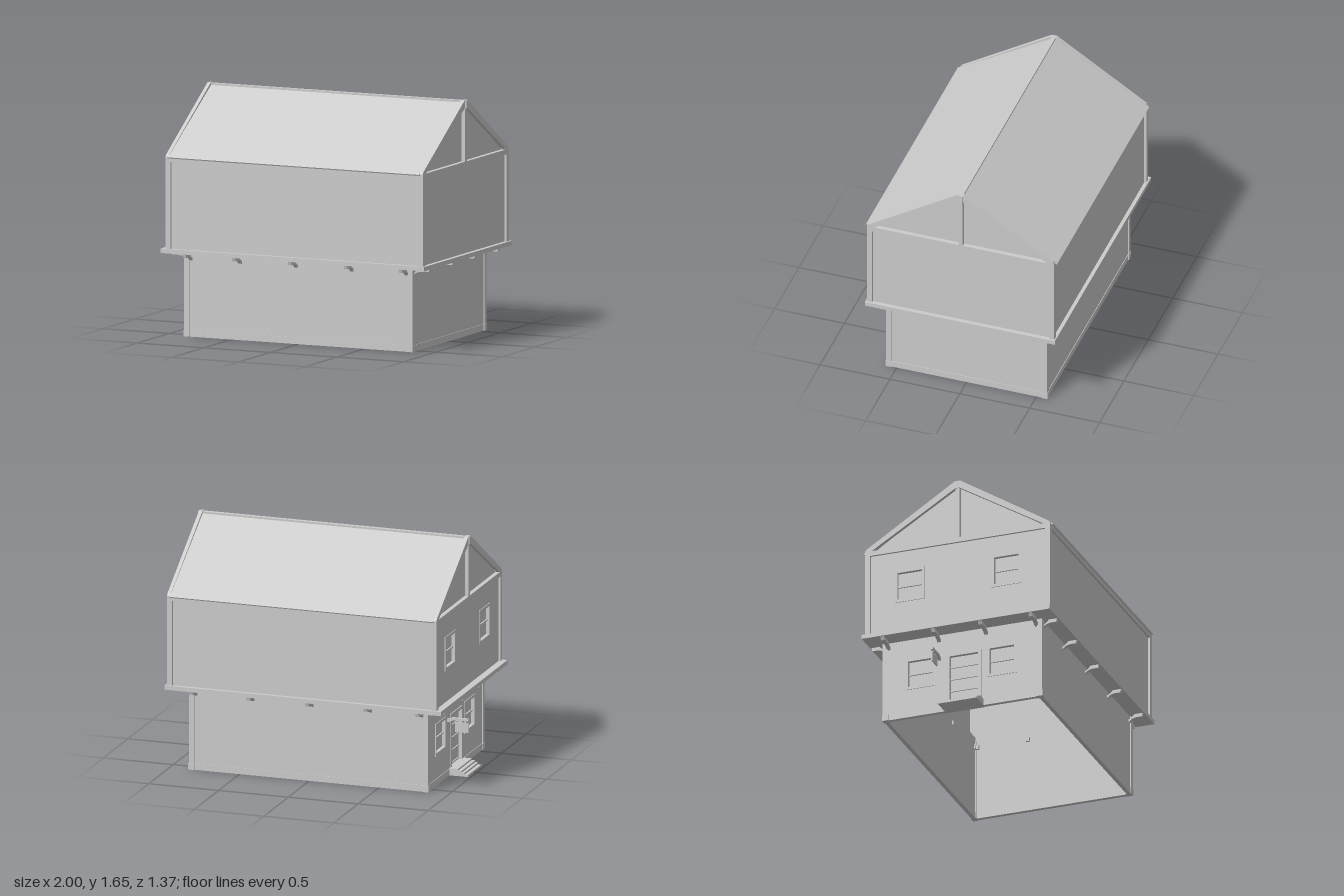
import * as THREE from 'three';

const material = new THREE.MeshStandardMaterial({ color: 0xcccccc, flatShading: true, side: THREE.DoubleSide });

export function createModel() {
  const house = new THREE.Group();
  house.name = 'house';

  const add = (name, geometry, parent = house) => {
    const mesh = new THREE.Mesh(geometry, material);
    mesh.name = name;
    parent.add(mesh);
    return mesh;
  };
  // Box given by its limits
  const box = (name, x0, x1, y0, y1, z0, z1, parent) => {
    const g = new THREE.BoxGeometry(x1 - x0, y1 - y0, z1 - z0);
    g.translate((x0 + x1) / 2, (y0 + y1) / 2, (z0 + z1) / 2);
    return add(name, g, parent);
  };
  const polygon = (points) => new THREE.Shape(points.map(([a, b]) => new THREE.Vector2(a, b)));
  const rect = (a0, a1, b0, b1) => polygon([[a0, b0], [a1, b0], [a1, b1], [a0, b1]]);
  // Slab whose outline lies in the (z, y) plane, reaching from x0 to x1
  const crossSlab = (name, x0, x1, outline, holes = []) => {
    outline.holes.push(...holes);
    const g = new THREE.ExtrudeGeometry(outline, { depth: x1 - x0, bevelEnabled: false });
    g.rotateY(-Math.PI / 2);
    g.translate(x1, 0, 0);
    return add(name, g);
  };

  // Limits of the lower and upper storeys
  const L0 = -0.855, L1 = 0.865, LZ = 0.58, floorY = 0.575;
  const U0 = -0.945, U1 = 0.985, UZ = 0.67, baseY = 0.605, eaveY = 1.235;

  // Openings in the entrance wall: z0, z1, y0, y1
  const lowerWindows = [[-0.41, -0.2, 0.21, 0.43], [0.18, 0.39, 0.21, 0.43]];
  const upperWindows = [[-0.455, -0.245, 0.83, 1.06], [0.245, 0.455, 0.83, 1.06]];
  const door = [-0.11, 0.13, 0.05, 0.42];
  const hole = (o) => rect(...o);

  // Lower storey walls, open below
  for (const s of [-1, 1]) {
    const z = [s * (LZ - 0.01), s * (LZ - 0.03)].sort((a, b) => a - b);
    box('lowerLongWall', L0 + 0.02, L1 - 0.02, 0, floorY, z[0], z[1]);
  }
  box('lowerEndWall', L1 - 0.03, L1 - 0.01, 0, floorY, -LZ + 0.02, LZ - 0.02);
  crossSlab('entranceWall', L0 + 0.01, L0 + 0.03, rect(-LZ + 0.02, LZ - 0.02, 0, floorY),
    [...lowerWindows, door].map(hole));

  // Upper storey walls
  for (const s of [-1, 1]) {
    const z = [s * (UZ - 0.015), s * (UZ - 0.035)].sort((a, b) => a - b);
    box('upperLongWall', U0 + 0.02, U1 - 0.02, baseY, eaveY, z[0], z[1]);
    box('eaveBeam', U0, U1, 1.2, 1.228, Math.min(s * UZ, s * (UZ - 0.035)), Math.max(s * UZ, s * (UZ - 0.035)));
  }
  box('upperEndWall', U1 - 0.035, U1 - 0.015, baseY, eaveY, -UZ + 0.02, UZ - 0.02);
  crossSlab('upperFacade', U0 + 0.015, U0 + 0.035, rect(-UZ + 0.02, UZ - 0.02, baseY, eaveY), upperWindows.map(hole));

  // Corner posts with small plinths
  for (const s of [-1, 1]) {
    for (const right of [true, false]) {
      const post = (name, edge, zEdge, w, y0, y1) => {
        const a = right ? edge - w : edge, c = s > 0 ? zEdge - w : -zEdge;
        box(name, a, a + w, y0, y1, c, c + w);
      };
      post('lowerPost', right ? L1 - 0.003 : L0 + 0.003, LZ - 0.003, 0.037, 0, floorY);
      post('postPlinth', right ? L1 : L0, LZ, 0.043, 0, 0.045);
      post('upperPost', right ? U1 : U0, UZ, 0.037, baseY, eaveY);
    }
  }

  // Ground sills
  for (const s of [-1, 1]) {
    const zc = s * (LZ - 0.02);
    box('groundSill', L0 + 0.03, L1 - 0.03, 0, 0.045, zc - 0.014, zc + 0.014);
  }
  box('groundSill', L1 - 0.034, L1 - 0.006, 0, 0.045, -LZ + 0.03, LZ - 0.03);
  box('groundSill', L0 + 0.006, L0 + 0.034, 0, 0.045, -LZ + 0.03, LZ - 0.03);

  // Jetty: a flat ring between the storeys
  const ring = rect(-0.98, 1, -0.68, 0.68);
  ring.holes.push(rect(L0 + 0.03, L1 - 0.03, -LZ + 0.03, LZ - 0.03));
  const ringGeometry = new THREE.ExtrudeGeometry(ring, { depth: baseY - floorY, bevelEnabled: false });
  ringGeometry.rotateX(-Math.PI / 2);
  ringGeometry.translate(0, floorY, 0);
  add('jetty', ringGeometry);

  // Curved brackets below the jetty
  const bracketShape = new THREE.Shape();
  bracketShape.moveTo(-0.05, 0.51);
  bracketShape.lineTo(-0.02, 0.515);
  bracketShape.quadraticCurveTo(0.015, 0.55, 0.06, 0.55);
  bracketShape.lineTo(0.105, 0.55);
  bracketShape.lineTo(0.115, 0.575);
  bracketShape.lineTo(0.04, 0.575);
  bracketShape.quadraticCurveTo(0.025, 0.56, 0, 0.545);
  bracketShape.lineTo(-0.05, 0.54);
  const bracketGeometry = new THREE.ExtrudeGeometry(bracketShape, { depth: 0.026, bevelEnabled: false, curveSegments: 6 });
  bracketGeometry.translate(0, 0, -0.013);
  const bracket = (x, z, turn, length = 1) => {
    const mesh = add('bracket', bracketGeometry);
    mesh.position.set(x, 0, z);
    mesh.rotation.y = turn;
    mesh.scale.x = length;
  };
  for (const x of [-0.805, -0.435, -0.015, 0.405, 0.815]) {
    bracket(x, LZ, -Math.PI / 2, 0.8);
    bracket(x, -LZ, Math.PI / 2, 0.8);
  }
  for (const z of [-0.535, -0.17, 0.17, 0.535]) {
    bracket(L1, z, 0);
    bracket(L0, z, Math.PI);
  }

  // Gable ends: rafters, tie beam, king post and recessed panel
  const apexY = 1.655;
  const gable = () => polygon([[-UZ, 1.2], [UZ, 1.2], [UZ, 1.235], [0.66, 1.25], [0.02, apexY], [-0.02, apexY], [-0.66, 1.25], [-UZ, 1.235]]);
  const gableHoles = () => [1, -1].map((s) => polygon([[s * 0.015, eaveY], [s * 0.62, eaveY], [s * 0.015, 1.603]]));
  for (const [x0, x1, panel] of [[U0, U0 + 0.025, U0 + 0.03], [U1 - 0.025, U1, U1 - 0.04]]) {
    crossSlab('gableFrame', x0, x1, gable(), gableHoles());
    crossSlab('gablePanel', panel, panel + 0.01, polygon([[-0.64, 1.22], [0.64, 1.22], [0, 1.635]]));
  }

  // Roof slopes and ridge beam
  for (const s of [-1, 1]) {
    crossSlab('roofSlope', U0 + 0.018, U1 - 0.022, polygon([[0, 1.648], [s * 0.685, 1.232], [s * 0.68, 1.224], [0, 1.628]]));
  }
  box('ridgeBeam', -0.95, 0.995, 1.6, 1.652, -0.015, 0.015);

  // Windows: frame, sill, pane and crossbar
  const addWindow = (x, [z0, z1, y0, y1]) => {
    const t = 0.016;
    crossSlab('windowFrame', x - 0.005, x + 0.05, rect(z0 - 0.004, z1 + 0.004, y0 - 0.004, y1 + 0.004),
      [rect(z0 + t, z1 - t, y0 + t, y1 - t)]);
    box('windowPane', x + 0.02, x + 0.026, y0 + t, y1 - t, z0 + t, z1 - t);
    const mid = (y0 + y1) / 2;
    box('windowRail', x + 0.01, x + 0.036, mid - 0.006, mid + 0.006, z0 + t, z1 - t);
  };
  lowerWindows.forEach((w) => addWindow(L0 + 0.01, w));
  upperWindows.forEach((w) => addWindow(U0 + 0.015, w));

  // Door with frame and cross battens
  const [d0, d1, dy0, dy1] = door;
  crossSlab('doorFrame', L0 + 0.003, L0 + 0.05, rect(d0 - 0.004, d1 + 0.004, dy0 - 0.005, dy1 + 0.004),
    [rect(d0 + 0.018, d1 - 0.018, dy0, dy1 - 0.018)]);
  box('doorLeaf', L0 + 0.028, L0 + 0.036, dy0, dy1, d0 + 0.016, d1 - 0.016);
  for (let i = 0; i < 4; i++) {
    const y = dy0 + 0.005 + i * 0.088;
    box('doorBatten', L0 + 0.02, L0 + 0.042, y, y + 0.01, d0 + 0.016, d1 - 0.016);
  }

  // Entrance steps
  [[-0.98, 0.013], [-0.955, 0.026], [-0.935, 0.038], [-0.91, 0.05]].forEach(([x, y], i) => {
    box('step', x, L0 + 0.04, i * 0.0125, y, -0.13, 0.15);
  });

  // Hanging sign board on a bent arm
  const arm = polygon([[-1, 0.403], [-0.89, 0.403], [-0.865, 0.388], [-0.835, 0.385], [-0.835, 0.405], [-0.86, 0.41], [-0.88, 0.42], [-1, 0.42]]);
  const armGeometry = new THREE.ExtrudeGeometry(arm, { depth: 0.018, bevelEnabled: false });
  armGeometry.translate(0, 0, -0.174);
  add('signArm', armGeometry);
  box('signBoard', -1, -0.9, 0.32, 0.39, -0.169, -0.161);
  for (const x of [-0.98, -0.925]) box('signHanger', x, x + 0.006, 0.388, 0.405, -0.168, -0.162);

  return house;
}
